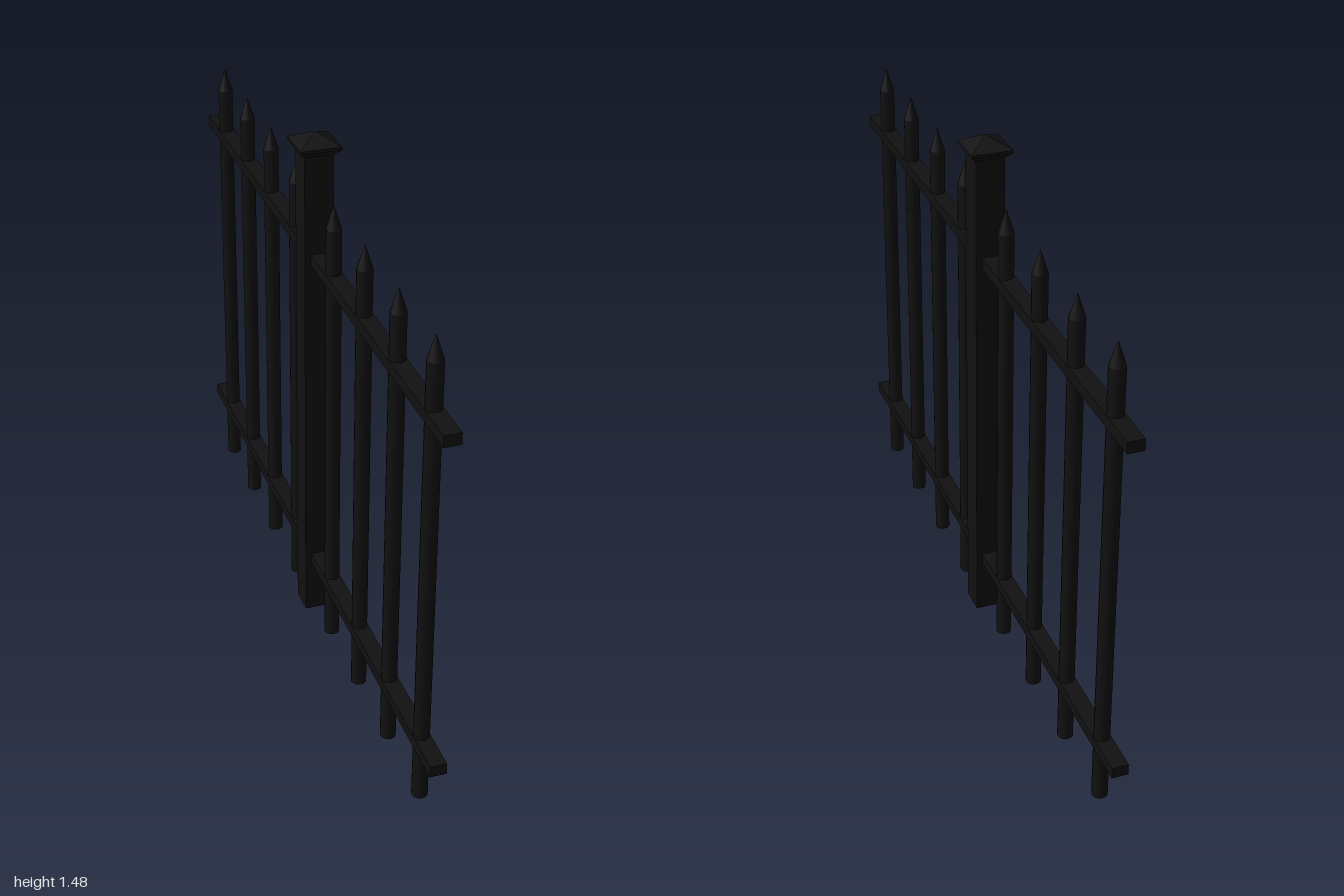
import * as THREE from 'three';

const metal = new THREE.MeshStandardMaterial({ color: 0x111111 });
const metalFlat = new THREE.MeshStandardMaterial({ color: 0x111111, flatShading: true });

function addMesh(parent, name, geometry, material, x, y, z) {
  const mesh = new THREE.Mesh(geometry, material);
  mesh.name = name;
  mesh.position.set(x, y, z);
  parent.add(mesh);
  return mesh;
}

// Square frustum given by its side lengths
function frustum(topSide, bottomSide, height) {
  return new THREE.CylinderGeometry(topSide * Math.SQRT1_2, bottomSide * Math.SQRT1_2, height, 4)
    .rotateY(Math.PI / 4);
}

export function createModel() {
  const fence = new THREE.Group();
  fence.name = 'fencePanel';

  // Centre post
  addMesh(fence, 'post', new THREE.BoxGeometry(0.08, 1.44, 0.08), metal, 0, 0.72, 0);

  // Post cap: flared underside, thin rim, low pyramid
  const cap = new THREE.Group();
  cap.name = 'postCap';
  fence.add(cap);
  addMesh(cap, 'capFlare', frustum(0.113, 0.08, 0.016), metalFlat, 0, 1.44, 0);
  addMesh(cap, 'capRim', frustum(0.113, 0.113, 0.008), metalFlat, 0, 1.452, 0);
  addMesh(cap, 'capPyramid', frustum(0.008, 0.113, 0.028), metalFlat, 0, 1.47, 0);

  // Horizontal rails
  const railGeometry = new THREE.BoxGeometry(0.045, 0.032, 2);
  addMesh(fence, 'lowerRail', railGeometry, metal, 0, 0.177, 0);
  addMesh(fence, 'upperRail', railGeometry, metal, 0, 1.137, 0);

  // Round pickets with pointed tips, four on each side of the post
  const radius = 0.0215;
  const barTop = 1.28;
  const tipHeight = 0.065;
  const barGeometry = new THREE.CylinderGeometry(radius, radius, barTop, 12);
  const tipGeometry = new THREE.ConeGeometry(radius, tipHeight, 12);
  for (const side of [1, -1]) {
    for (let i = 0; i < 4; i++) {
      const picket = new THREE.Group();
      picket.name = 'picket';
      picket.position.z = side * (0.16 + 0.24 * i);
      addMesh(picket, 'picketBar', barGeometry, metal, 0, barTop / 2, 0);
      addMesh(picket, 'picketTip', tipGeometry, metal, 0, barTop + tipHeight / 2, 0);
      fence.add(picket);
    }
  }

  return fence;
}
